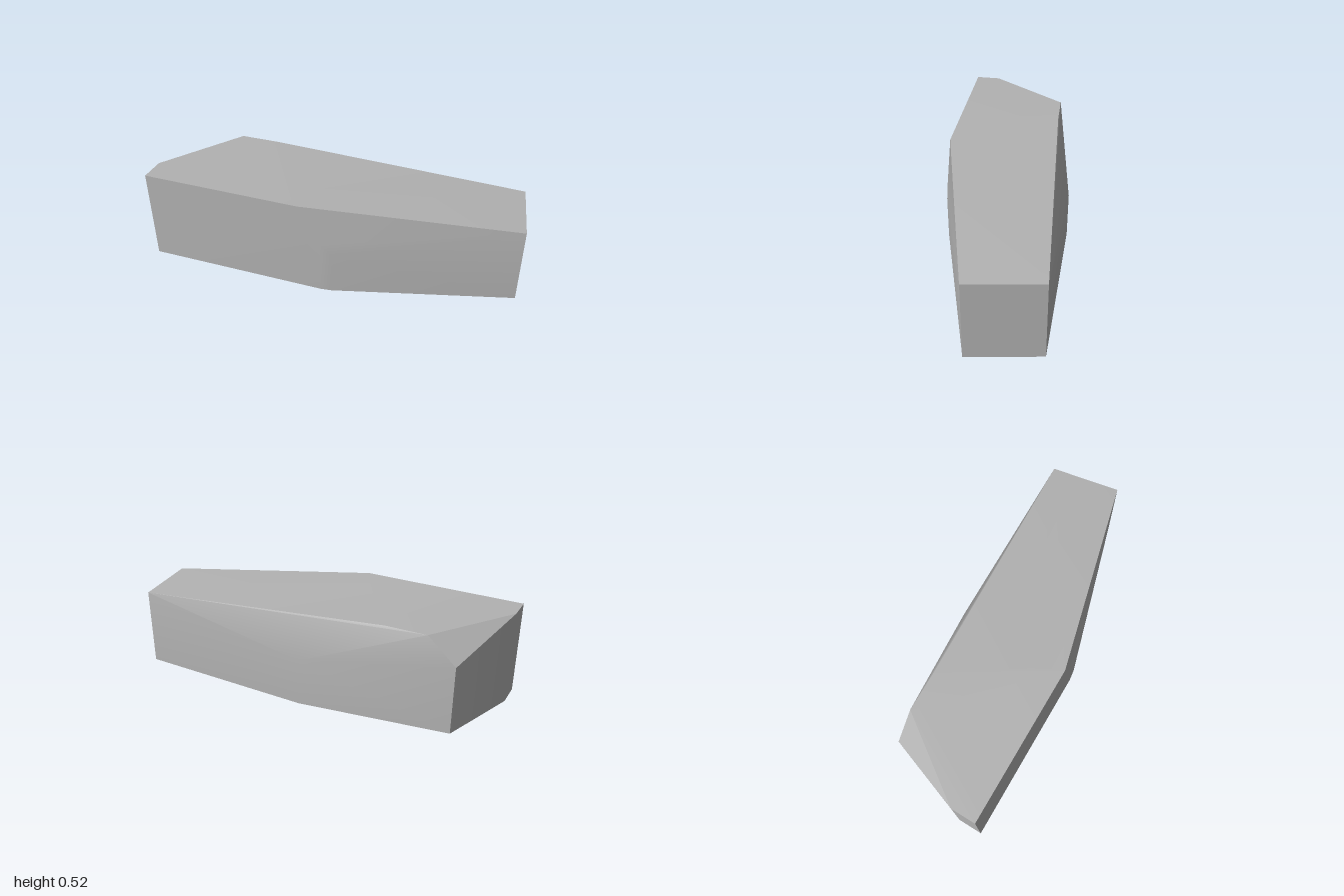
import * as THREE from 'three';
import { ConvexGeometry } from 'three/addons/geometries/ConvexGeometry.js';
import { toCreasedNormals } from 'three/addons/utils/BufferGeometryUtils.js';

const TOP = 0.517; // height of the level part of the top
const LOW = 0.43;  // height at the tapered end

export function createModel() {
  const stone = new THREE.MeshStandardMaterial({ color: 0xb2b2b2 });

  // Footprint of the block, as x, z
  const base = [
    [-1, 0.347], [0, 0.328], [0.06, 0.319], [1, 0.037],
    [0.935, -0.344], [-0.05, -0.348], [-0.85, -0.222], [-1, 0.21],
  ];

  // Upper corners, as x, y, z
  const upper = [
    // level top
    [-1, TOP, 0.347], [-0.12, TOP, 0.332], [-0.2, TOP, 0.18],
    [-0.48, TOP, -0.235], [-0.7, TOP, -0.228], [-1, TOP, 0.21],
    // lower end of the sloping top
    [1, LOW, 0.037], [0.935, LOW, -0.344],
    // feet of the rear chamfer and the cut corner
    [-0.05, 0.26, -0.348], [-0.85, 0.376, -0.222],
    // soft bend in the front wall
    [0, 0.3, 0.328], [0.06, 0.24, 0.319],
  ];

  const points = [
    ...base.map(([x, z]) => new THREE.Vector3(x, 0, z)),
    ...upper.map((p) => new THREE.Vector3(...p)),
  ];

  // Shallow bends are smooth, the main edges stay sharp
  const geometry = toCreasedNormals(new ConvexGeometry(points), Math.PI / 6);
  const block = new THREE.Mesh(geometry, stone);
  block.name = 'stoneBlock';

  const group = new THREE.Group();
  group.name = 'cutStone';
  group.add(block);
  return group;
}
